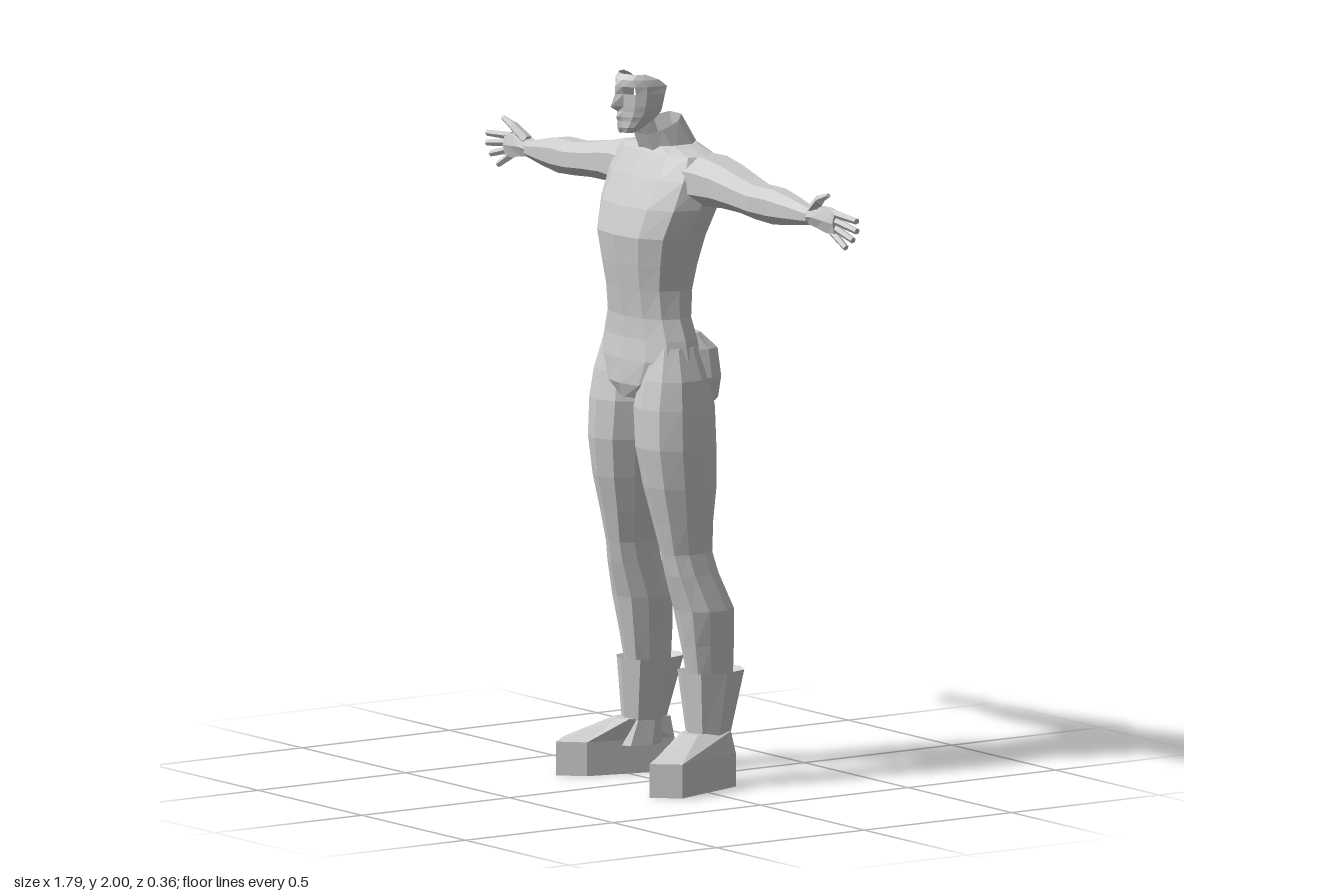
import * as THREE from 'three';

const skin = new THREE.MeshStandardMaterial({ color: 0xcccccc, flatShading: true, side: THREE.DoubleSide });
skin.name = 'plain grey';

// Skin a list of closed rings, each an array of Vector3
function loft(name, rings, capStart = true, capEnd = true) {
  const n = rings[0].length, pos = [], idx = [];
  rings.forEach(r => r.forEach(p => pos.push(p.x, p.y, p.z)));
  for (let i = 0; i < rings.length - 1; i++) {
    for (let j = 0; j < n; j++) {
      const a = i * n + j, b = i * n + (j + 1) % n;
      idx.push(a, b, b + n, a, b + n, a + n);
    }
  }
  const last = (rings.length - 1) * n;
  for (let j = 1; j < n - 1; j++) {
    if (capStart) idx.push(0, j + 1, j);
    if (capEnd) idx.push(last, last + j, last + j + 1);
  }
  return build(name, pos, idx);
}

function build(name, pos, idx) {
  const g = new THREE.BufferGeometry();
  g.setAttribute('position', new THREE.Float32BufferAttribute(pos, 3));
  g.setIndex(idx);
  g.computeVertexNormals();
  const m = new THREE.Mesh(g, skin);
  m.name = name;
  return m;
}

// Rounded unit outline; a power under 1 makes it squarer
function outline(n, power, turn = 0) {
  return Array.from({ length: n }, (_, i) => {
    const t = (i + turn) / n * Math.PI * 2, s = Math.sin(t), c = Math.cos(t);
    return [Math.sign(s) * Math.abs(s) ** power, Math.sign(c) * Math.abs(c) ** power];
  });
}

// Level ring: height, x range, front and back z, and rise towards the back
function levelRing(n, power, [y, x0, x1, front, back, rise = 0], turn = 0) {
  return outline(n, power, turn).map(([u, v]) => new THREE.Vector3(
    (x0 + x1) / 2 + u * (x1 - x0) / 2, y + rise * (1 - v) / 2, (front + back) / 2 + v * (front - back) / 2));
}

// Upright ring around an arm: x, bottom and top y, front and back z
function armRing(n, [x, y0, y1, front, back]) {
  return outline(n, 0.9, 0.5).map(([u, v]) => new THREE.Vector3(
    x, (y0 + y1) / 2 + v * (y1 - y0) / 2, (front + back) / 2 - u * (front - back) / 2));
}

function finger(name, from, to, r0, r1) {
  const a = new THREE.Vector3(...from), b = new THREE.Vector3(...to);
  const m = new THREE.Mesh(new THREE.CylinderGeometry(r1, r0, a.distanceTo(b), 5), skin);
  m.name = name;
  m.position.copy(a).add(b).multiplyScalar(0.5);
  m.quaternion.setFromUnitVectors(new THREE.Vector3(0, 1, 0), b.sub(a).normalize());
  return m;
}

function arm() {
  const g = new THREE.Group();
  g.add(loft('arm', [
    [0.13, 1.63, 1.785, 0.04, -0.13], [0.2, 1.635, 1.78, 0.03, -0.15],
    [0.27, 1.64, 1.765, 0.015, -0.145], [0.36, 1.64, 1.745, 0.01, -0.13],
    [0.44, 1.635, 1.735, 0.01, -0.105], [0.52, 1.63, 1.735, 0, -0.1],
    [0.6, 1.64, 1.72, -0.01, -0.088], [0.68, 1.652, 1.7, -0.025, -0.075],
  ].map(r => armRing(8, r))));
  g.add(loft('palm', [
    [0.67, 1.655, 1.7, -0.025, -0.075], [0.71, 1.648, 1.713, -0.025, -0.08],
    [0.76, 1.637, 1.715, -0.03, -0.075], [0.795, 1.64, 1.706, -0.036, -0.066],
  ].map(r => armRing(6, r))));
  // Four fanned fingers, then a bent thumb
  [[1.7, 0.89, 1.692], [1.682, 0.892, 1.664], [1.664, 0.873, 1.636], [1.648, 0.838, 1.61]]
    .forEach(([y, tx, ty]) => g.add(finger('finger', [0.77, y, -0.052], [tx, ty, -0.052], 0.012, 0.009)));
  g.add(finger('thumb', [0.69, 1.7, -0.045], [0.74, 1.735, -0.033], 0.016, 0.014));
  g.add(finger('thumb', [0.735, 1.733, -0.033], [0.785, 1.752, -0.03], 0.013, 0.007));
  return g;
}

function leg() {
  const g = new THREE.Group();
  g.add(loft('leg', [
    [0.3, 0.105, 0.195, -0.005, -0.145], [0.4, 0.09, 0.207, 0.012, -0.145],
    [0.5, 0.073, 0.222, 0.03, -0.14], [0.6, 0.078, 0.198, 0.058, -0.1],
    [0.66, 0.078, 0.186, 0.07, -0.085], [0.75, 0.058, 0.195, 0.09, -0.088],
    [0.85, 0.038, 0.205, 0.115, -0.1], [0.96, 0.018, 0.21, 0.132, -0.1],
    [1.07, 0.006, 0.207, 0.13, -0.098], [1.15, 0.02, 0.198, 0.115, -0.08],
    [1.24, 0.05, 0.17, 0.09, -0.05],
  ].map(r => levelRing(10, 0.9, r))));
  // Flared boot shaft with an inner lip
  g.add(loft('bootShaft', [
    [0.08, 0.1, 0.215, 0.03, -0.14], [0.15, 0.1, 0.21, 0.0, -0.13],
    [0.325, 0.068, 0.225, 0.02, -0.18], [0.3, 0.1, 0.2, 0.0, -0.15],
  ].map(r => levelRing(8, 0.9, r)), true, false));
  // Turned-out foot: flat sole block with a sloping instep
  const sole = [[0.1, -0.13], [0.165, 0.12], [0.225, 0.183], [0.287, 0.115], [0.21, -0.12], [0.155, -0.155]];
  const instep = [[0.105, -0.12], [0.125, 0.005], [0.16, 0.025], [0.2, 0], [0.2, -0.11], [0.155, -0.14]];
  const at = (pts, y) => pts.map(([x, z]) => new THREE.Vector3(x, y, z));
  g.add(loft('foot', [at(sole, 0), at(sole, 0.095), at(instep, 0.155)]));
  return g;
}

// Open face shell with eye holes
function face() {
  const cols = [-1, -0.85, -0.62, -0.2, 0, 0.2, 0.62, 0.85, 1];
  // Height, half width, front z, edge z, ridge at the middle
  const rows = [
    [1.835, 0.026, 0.122, 0.095, 0.006], [1.85, 0.042, 0.128, 0.075, 0.006],
    [1.868, 0.053, 0.125, 0.055, 0.008], [1.88, 0.06, 0.127, 0.043, 0.011],
    [1.895, 0.066, 0.125, 0.032, 0.007], [1.91, 0.07, 0.125, 0.03, 0.032],
    [1.945, 0.074, 0.125, 0.024, 0.017], [1.966, 0.075, 0.132, 0.018, 0.01],
    [1.985, 0.068, 0.13, 0.04, 0.004], [2.0, 0.052, 0.116, 0.075, 0.002],
  ];
  const pos = [], idx = [], n = cols.length;
  rows.forEach(([y, w, front, edge, ridge]) => cols.forEach(c => pos.push(
    c * w, y, edge + (front - edge) * Math.sqrt(1 - c * c) + (c === 0 ? ridge : 0))));
  for (let i = 0; i < rows.length - 1; i++) {
    for (let j = 0; j < n - 1; j++) {
      if (i === 6 && (j === 2 || j === 5)) continue;
      const a = i * n + j;
      idx.push(a, a + 1, a + n + 1, a, a + n + 1, a + n);
    }
  }
  return build('face', pos, idx);
}

export function createModel() {
  const model = new THREE.Group();
  const body = ([y, w, f, b, rise]) => levelRing(12, 0.85, [y, -w, w, f, b, rise]);

  model.add(loft('torso', [
    [1.09, 0.06, 0.11, -0.07], [1.13, 0.13, 0.125, -0.085], [1.2, 0.18, 0.122, -0.085],
    [1.26, 0.168, 0.115, -0.075], [1.32, 0.147, 0.115, -0.065], [1.4, 0.145, 0.127, -0.075],
    [1.47, 0.158, 0.138, -0.09], [1.55, 0.178, 0.148, -0.112], [1.63, 0.197, 0.125, -0.142],
    [1.71, 0.2, 0.085, -0.14], [1.775, 0.185, 0.045, -0.12], [1.795, 0.09, 0.03, -0.11],
  ].map(body)));

  // Seat block with a shelf above and an undercut below
  model.add(loft('buttocks', [
    [1.06, 0.15, 0, -0.085], [1.09, 0.165, 0, -0.122], [1.15, 0.175, 0, -0.127],
    [1.23, 0.165, 0, -0.12], [1.275, 0.14, 0, -0.07],
  ].map(([y, w, f, b]) => levelRing(12, 0.6, [y, -w, w, f, b]))));

  // Open, forward-leaning collar
  model.add(loft('collar', [
    [1.765, 0.085, 0.035, -0.12, 0.02], [1.825, 0.066, 0.063, -0.068, 0.05],
    [1.79, 0.055, 0.035, -0.075, 0.02],
  ].map(([y, w, f, b, r]) => levelRing(8, 0.9, [y, -w, w, f, b, r], 0.5)), false, true));

  model.add(face());

  for (const side of [1, -1]) {
    const limbs = new THREE.Group();
    limbs.name = side > 0 ? 'leftLimbs' : 'rightLimbs';
    limbs.add(arm(), leg());
    limbs.scale.x = side;
    model.add(limbs);
  }
  return model;
}
